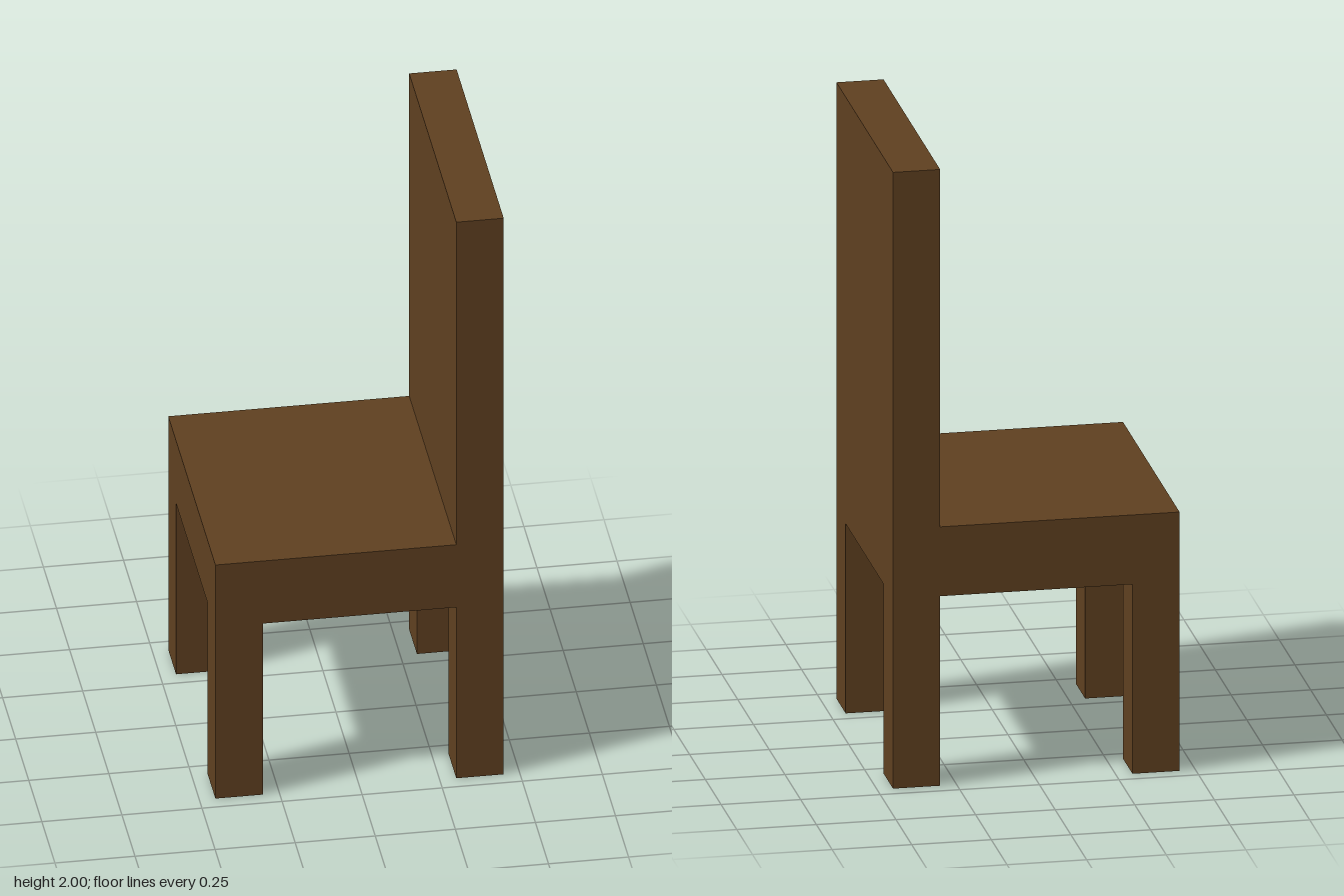
import * as THREE from 'three';

const HALF = 0.45;        // half width and depth of the chair
const THICK = 0.148;      // leg and backrest thickness
const SEAT_BOTTOM = 0.615;
const SEAT_TOP = 0.84;
const HEIGHT = 2;

export function createModel() {
  const group = new THREE.Group();
  group.name = 'chair';

  const wood = new THREE.MeshStandardMaterial({ color: 0x5f4020 });
  wood.name = 'brown wood';

  // Box given by its min and max corners
  const addBox = (name, [x0, y0, z0], [x1, y1, z1]) => {
    const mesh = new THREE.Mesh(new THREE.BoxGeometry(x1 - x0, y1 - y0, z1 - z0), wood);
    mesh.position.set((x0 + x1) / 2, (y0 + y1) / 2, (z0 + z1) / 2);
    mesh.name = name;
    group.add(mesh);
  };

  const inner = HALF - THICK;

  // Seat slab, ending at the face of the backrest
  addBox('seat', [-HALF, SEAT_BOTTOM, -HALF], [inner, SEAT_TOP, HALF]);

  // Backrest along the +x side, running down to the underside of the seat
  addBox('backrest', [inner, SEAT_BOTTOM, -HALF], [HALF, HEIGHT, HALF]);

  // Four square legs flush with the corners
  for (const [xName, x] of [['front', -HALF], ['back', inner]]) {
    for (const [zName, z] of [['Right', -HALF], ['Left', inner]]) {
      addBox(`${xName}${zName}Leg`, [x, 0, z], [x + THICK, SEAT_BOTTOM, z + THICK]);
    }
  }

  return group;
}
